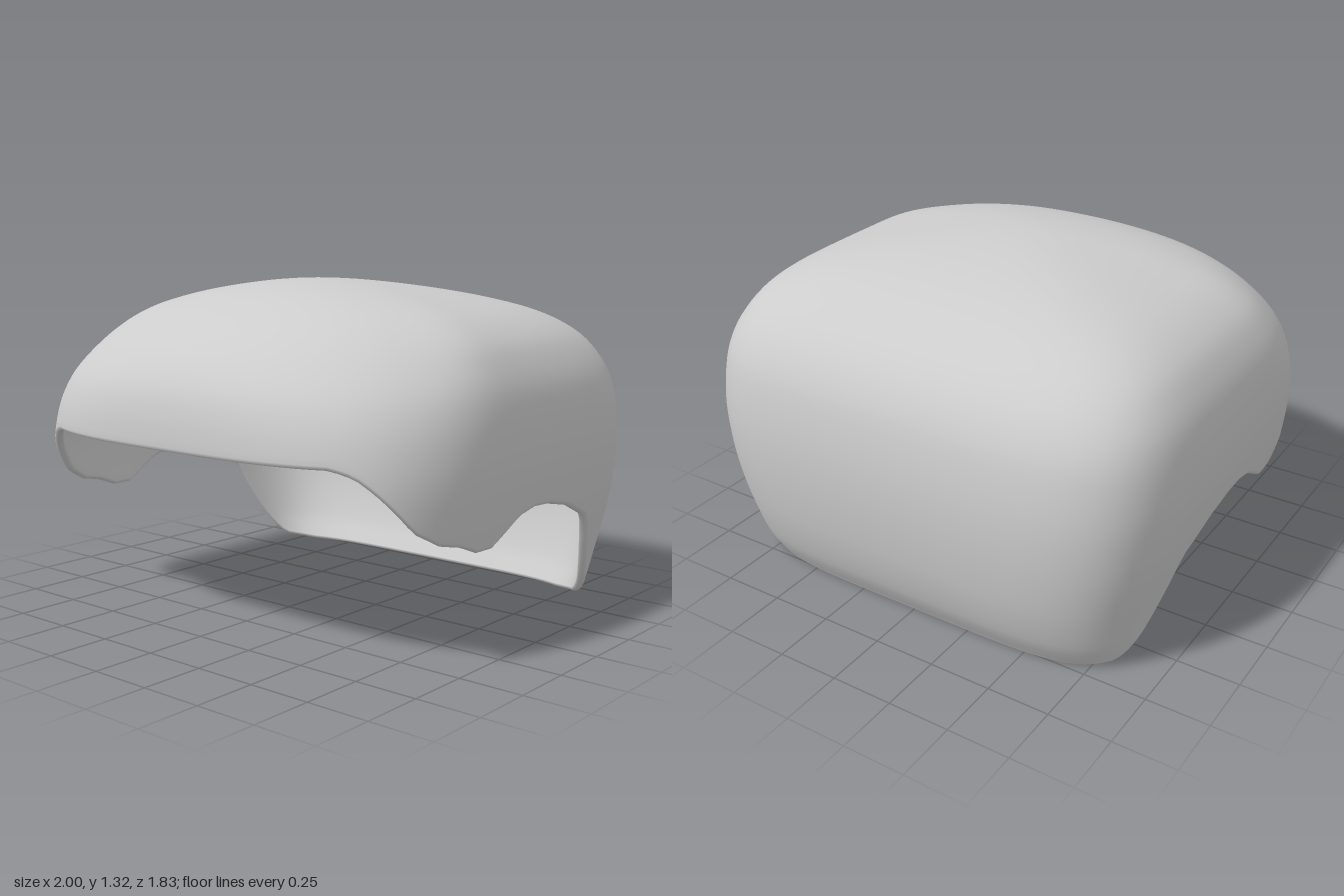
import * as THREE from 'three';
import { mergeVertices } from 'three/addons/utils/BufferGeometryUtils.js';

const { lerp, smoothstep } = THREE.MathUtils;
const TOP = 1.32;      // crown height
const Z0 = 0.06;       // z of the crown
const WALL = 0.032;    // shell thickness
const S_MAX = Math.sqrt(TOP);

const curve = (Type, pairs) => {
  const f = new Type(pairs.map(p => p[0]), pairs.map(p => p[1]), 1);
  return v => f.evaluate(v)[0];
};
// Profiles: [height, reach from the crown axis], keyed by the root of the drop below the crown
const profile = pairs => curve(THREE.CubicInterpolant, pairs.map(([y, r]) => [Math.sqrt(TOP - y), r]));

const sideReach = profile([[1.32, 0], [1.3, 0.28], [1.24, 0.6], [1.2, 0.73], [1.12, 0.865], [1.03, 0.935],
  [0.93, 0.977], [0.7, 1], [0.5, 0.985], [0.4, 0.97], [0.2, 0.93], [0, 0.9]]);
const frontReach = profile([[1.32, 0], [1.305, 0.19], [1.275, 0.34], [1.22, 0.49], [1.14, 0.64], [1.06, 0.74],
  [0.95, 0.82], [0.85, 0.85], [0.73, 0.86], [0.4, 0.86], [0, 0.86]]);
const backReach = profile([[1.32, 0], [1.3, 0.26], [1.26, 0.46], [1.21, 0.61], [1.13, 0.76], [1.04, 0.86],
  [0.92, 0.93], [0.8, 0.96], [0.62, 0.975], [0.4, 0.96], [0.2, 0.92], [0.05, 0.86], [0, 0.82]]);

// Height of the wavy lower edge along z
const rimHeight = curve(THREE.LinearInterpolant, [[-1, 0], [-0.73, 0], [-0.65, 0.02], [-0.58, 0.11], [-0.52, 0.22],
  [-0.43, 0.4], [-0.25, 0.475], [-0.1, 0.505], [0, 0.51], [0.1, 0.49], [0.26, 0.4], [0.35, 0.4],
  [0.44, 0.435], [0.54, 0.455], [0.64, 0.51], [0.72, 0.61], [0.79, 0.7], [0.83, 0.725], [1, 0.725]]);

// Outer surface: rounded-square plan, softer corners in front and tighter ones behind
function surface(angle, s) {
  const c = Math.cos(angle), d = Math.sin(angle);
  const front = lerp(2.3, 3.5, smoothstep(s, 0.43, 0.88));
  const back = lerp(2.4, 5.25, smoothstep(s, 0, 0.42));
  const n = lerp(back, front, smoothstep(d, -0.6, 0.6));
  const r = (Math.abs(c) ** n + Math.abs(d) ** n) ** (-1 / n);
  const depth = d > 0 ? frontReach(s) : backReach(s);
  return [c * r * sideReach(s), TOP - s * s, d * r * depth];
}

// Find where the surface meets the lower edge at this angle
function rimAt(angle) {
  let lo = 0.6, hi = S_MAX;
  for (let i = 0; i < 30; i++) {
    const mid = (lo + hi) / 2;
    const [, y, z] = surface(angle, mid);
    if (y > rimHeight(z + Z0) + WALL / 2) lo = mid; else hi = mid;
  }
  return lo;
}

function shellGeometry(around = 192, rows = 48, roll = 6) {
  const columns = [];
  for (let i = 0; i < around; i++) {
    const angle = (i / around) * Math.PI * 2;
    const end = rimAt(angle);
    const column = [];
    const add = (t, inset, drop) => {
      const [x, y, z] = surface(angle, end * t);
      column.push([x * (1 - inset), y - drop, Z0 + z * (1 - inset)]);
    };
    // outside, rolled edge, inside
    for (let j = 0; j <= rows; j++) add(j / rows, 0, 0);
    for (let j = 1; j < roll; j++) {
      const a = (j / roll) * Math.PI;
      add(1, WALL / 2 * (1 - Math.cos(a)), WALL / 2 * Math.sin(a));
    }
    for (let j = rows; j >= 0; j--) add(j / rows, WALL, WALL * (1 - (j / rows) ** 4));
    columns.push(column);
  }
  const count = columns[0].length, index = [];
  for (let i = 0; i < around; i++) {
    const a = i * count, b = ((i + 1) % around) * count;
    for (let j = 0; j < count - 1; j++) {
      if (j > 0) index.push(a + j, b + j, a + j + 1);
      if (j < count - 2) index.push(b + j, b + j + 1, a + j + 1);
    }
  }
  const raw = new THREE.BufferGeometry();
  raw.setAttribute('position', new THREE.Float32BufferAttribute(columns.flat(2), 3));
  raw.setIndex(index);
  const geometry = mergeVertices(raw, 1e-5);
  geometry.computeVertexNormals();
  return geometry;
}

export function createModel() {
  const group = new THREE.Group();
  group.name = 'hoodShell';
  const grey = new THREE.MeshStandardMaterial({ color: 0xcccccc });
  grey.name = 'light grey';
  const shell = new THREE.Mesh(shellGeometry(), grey);
  shell.name = 'shell';
  group.add(shell);
  return group;
}
